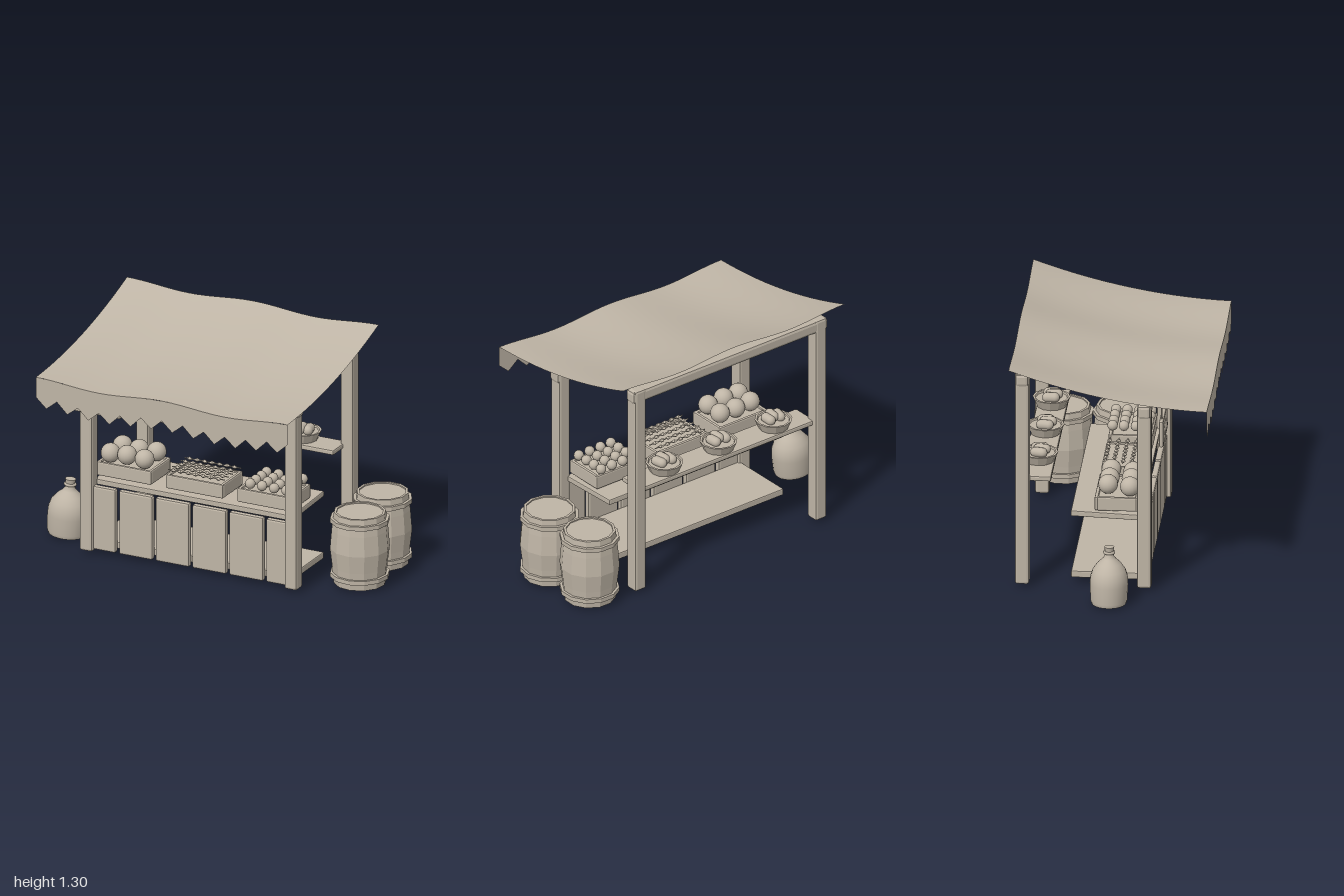
import * as THREE from 'three';
import { RoundedBoxGeometry } from 'three/addons/geometries/RoundedBoxGeometry.js';

export function createModel() {
  const stall = new THREE.Group();
  stall.name = 'marketStall';
  const clay = new THREE.MeshStandardMaterial({ color: 0xbfb5a6, side: THREE.DoubleSide });
  clay.name = 'warmGrey';
  const dark = new THREE.MeshStandardMaterial({ color: 0x2c2b2a });
  dark.name = 'darkUnderside';
  // Box sides in group order, with a dark bottom
  const grounded = [clay, clay, clay, dark, clay, clay];

  const add = (name, geo, x = 0, y = 0, z = 0, parent = stall, material = clay) => {
    const mesh = new THREE.Mesh(geo, material);
    mesh.name = name;
    mesh.position.set(x, y, z);
    parent.add(mesh);
    return mesh;
  };
  const group = (name, x = 0, y = 0, z = 0) => {
    const g = new THREE.Group();
    g.name = name;
    g.position.set(x, y, z);
    stall.add(g);
    return g;
  };
  // Faceted normals
  const flat = (geo) => {
    const g = geo.index ? geo.toNonIndexed() : geo;
    g.computeVertexNormals();
    return g;
  };
  // Chamfered beam given by its limits on each axis
  const beam = (name, [x0, x1], [y0, y1], [z0, z1], r = 0.006, parent = stall, material = clay) =>
    add(name, flat(new RoundedBoxGeometry(x1 - x0, y1 - y0, z1 - z0, 1, r)),
      (x0 + x1) / 2, (y0 + y1) / 2, (z0 + z1) / 2, parent, material);
  const lathe = (pts, sides) =>
    new THREE.LatheGeometry(pts.map(([r, y]) => new THREE.Vector2(r, y)), sides);
  const disc = (r, sides) => new THREE.CircleGeometry(r, sides).rotateX(Math.PI / 2);

  // Posts and top beams
  for (const x of [-0.667, 0.565]) {
    beam('frontPost', [x - 0.038, x + 0.038], [0.016, 1.06], [0.147, 0.225], 0.013, stall, grounded);
    beam('backPost', [x - 0.038, x + 0.038], [0.016, 1.243], [-0.508, -0.431], 0.013, stall, grounded);
  }
  beam('frontBeam', [-0.715, 0.612], [1.003, 1.08], [0.149, 0.222], 0.017);
  beam('backBeam', [-0.715, 0.612], [1.168, 1.241], [-0.506, -0.433], 0.017);

  // Wavy cloth awning
  const X0 = -0.807, X1 = 0.708, FRONT = 0.532;
  const clothY = (x, z) => 1.145 - 0.19 * z + 0.157 * z * z
    + 0.012 * Math.cos((x + 0.0495) * 2 * Math.PI / 0.757);
  const cloth = new THREE.PlaneGeometry(X1 - X0, FRONT * 2, 32, 14);
  cloth.rotateX(-Math.PI / 2);
  cloth.translate((X0 + X1) / 2, 0, 0);
  const cp = cloth.attributes.position;
  for (let i = 0; i < cp.count; i++) cp.setY(i, clothY(cp.getX(i), cp.getZ(i)));
  cloth.computeVertexNormals();
  add('awning', cloth);

  // Toothed valance hanging from the front edge
  const valance = new THREE.Shape();
  const N = 24, vx = (i) => X0 + (X1 - X0) * i / N;
  valance.moveTo(X0, clothY(X0, FRONT));
  for (let i = 0; i <= N; i++) valance.lineTo(vx(i), clothY(vx(i), FRONT) - (i % 2 ? 0.17 : 0.115));
  for (let i = N; i > 0; i--) valance.lineTo(vx(i), clothY(vx(i), FRONT));
  add('valance', new THREE.ShapeGeometry(valance), 0, 0, FRONT);

  // Counter, lower shelf and front boards
  const counter = beam('counterTop', [-0.645, 0.545], [0.392, 0.424], [-0.212, 0.165]);
  counter.rotation.x = 0.035;
  beam('lowerShelf', [-0.645, 0.545], [0.042, 0.08], [-0.21, 0.17], 0.006, stall, grounded);
  const boards = [[-0.64, -0.5], [-0.48, -0.278], [-0.26, -0.056],
    [-0.038, 0.166], [0.184, 0.388], [0.406, 0.54]];
  for (const span of boards) beam('frontBoard', span, [0.025, 0.39], [0.166, 0.202], 0.011, stall, grounded);

  // Back shelf with bowls of rolls
  beam('backShelf', [-0.645, 0.545], [0.594, 0.623], [-0.48, -0.318], 0.008);
  const bowlGeo = flat(lathe([[0, 0], [0.08, 0], [0.102, 0.051], [0.09, 0.051], [0.086, 0.042], [0, 0.042]], 12));
  const rollGeo = new THREE.CapsuleGeometry(0.027, 0.04, 6, 12).rotateX(Math.PI / 2);
  [-0.425, -0.05, 0.32].forEach((x, k) => {
    const bowl = group('bowl', x, 0.625, -0.4);
    add('bowlDish', bowlGeo, 0, 0, 0, bowl);
    [-0.036, 0, 0.036].forEach((rx, i) => {
      const roll = add('roll', rollGeo, rx, i % 2 ? 0.066 : 0.06, i % 2 ? 0.015 : 0, bowl);
      roll.rotation.y = (i - 1) * 0.12 + (k - 1) * 0.1;
    });
  });

  // Open crates on the counter
  const crate = (x0, x1) => {
    const g = group('crate');
    const y = [0.433, 0.513], z0 = -0.085, z1 = 0.152, t = 0.02;
    beam('crateFront', [x0, x1], y, [z1 - t, z1], 0.008, g);
    beam('crateBack', [x0, x1], y, [z0, z0 + t], 0.008, g);
    beam('crateSide', [x0, x0 + t], y, [z0 + t / 2, z1 - t / 2], 0.008, g);
    beam('crateSide', [x1 - t, x1], y, [z0 + t / 2, z1 - t / 2], 0.008, g);
    beam('crateFloor', [x0 + t, x1 - t], [0.435, 0.504], [z0 + t, z1 - t], 0.002, g);
  };
  crate(-0.64, -0.31);
  crate(-0.222, 0.122);
  crate(0.207, 0.53);

  // Large fruit
  const melon = new THREE.SphereGeometry(0.053, 18, 12);
  [-0.58, -0.48, -0.375].forEach((x, i) => [0.1, -0.018].forEach((z, j) => {
    add('largeFruit', melon, x + j * 0.012, 0.556 + ((i + j) % 2) * 0.005, z);
  }));

  // Small fruit
  const berry = new THREE.SphereGeometry(0.028, 14, 10);
  for (const x of [0.272, 0.343, 0.416, 0.49])
    for (const z of [0.122, 0.057, -0.007, -0.068]) add('smallFruit', berry, x, 0.54, z);

  // Skewers with faceted pieces
  const stickGeo = new THREE.CylinderGeometry(0.003, 0.003, 0.34, 6).rotateZ(Math.PI / 2);
  const pieceGeo = flat(new THREE.OctahedronGeometry(0.022)).scale(1, 0.55, 0.7);
  for (let r = 0; r < 5; r++) {
    const skewer = group('skewer', -0.05, 0.533, 0.125 - r * 0.048);
    add('skewerStick', stickGeo, 0, 0, 0, skewer);
    for (let i = 0; i < 7; i++) {
      const piece = add('skewerPiece', pieceGeo, -0.14 + i * 0.045, 0, 0, skewer);
      piece.rotation.y = i % 2 ? 0.35 : -0.35;
    }
  }

  // Hanging sign with a raised loaf
  beam('signBoard', [-0.702, -0.424], [0.838, 0.99], [0.266, 0.29], 0.01);
  for (const x of [-0.66, -0.465])
    add('signCord', new THREE.CylinderGeometry(0.004, 0.004, 0.08, 6), x, 1.022, 0.278);
  beam('signLoafBase', [-0.632, -0.493], [0.886, 0.905], [0.285, 0.297], 0.004);
  add('signLoaf', new THREE.SphereGeometry(1, 16, 10).scale(0.068, 0.04, 0.012), -0.5625, 0.907, 0.287);

  // Barrels with hoops, a slightly sunken lid and a dark bottom
  const barrelGeo = flat(lathe([[0.141, 0], [0.15, 0.1], [0.162, 0.2], [0.153, 0.31],
    [0.141, 0.407], [0.127, 0.407], [0.127, 0.4], [0, 0.4]], 12));
  const hoopGeo = flat(lathe([[0.135, -0.012], [0.161, -0.012], [0.161, 0.012], [0.135, 0.012]], 12));
  [[0.837, -0.062, 0.1], [0.812, -0.376, 0.25]].forEach(([x, z, turn]) => {
    const barrel = group('barrel', x, 0.014, z);
    barrel.rotation.y = turn;
    add('barrelBody', barrelGeo, 0, 0, 0, barrel);
    add('barrelBottom', disc(0.141, 12), 0, 0, 0, barrel, dark);
    for (const y of [0.05, 0.362]) add('barrelHoop', hoopGeo, 0, y, 0, barrel);
  });

  // Leaning jug
  const jug = group('jug', -0.887, 0.008, 0.014);
  jug.rotation.z = -0.07;
  jug.scale.z = 0.9;
  add('jugBody', lathe([[0.103, 0], [0.11, 0.02], [0.115, 0.11], [0.112, 0.15], [0.098, 0.19],
    [0.07, 0.225], [0.04, 0.25], [0.029, 0.265], [0.027, 0.285]], 24), 0, 0, 0, jug);
  add('jugBottom', disc(0.103, 24), 0, 0, 0, jug, dark);
  add('jugCollar', new THREE.TorusGeometry(0.028, 0.008, 8, 20).rotateX(Math.PI / 2), 0, 0.286, 0, jug);
  add('jugStopper', new THREE.CylinderGeometry(0.03, 0.024, 0.034, 16), 0, 0.3, 0, jug);

  return stall;
}
